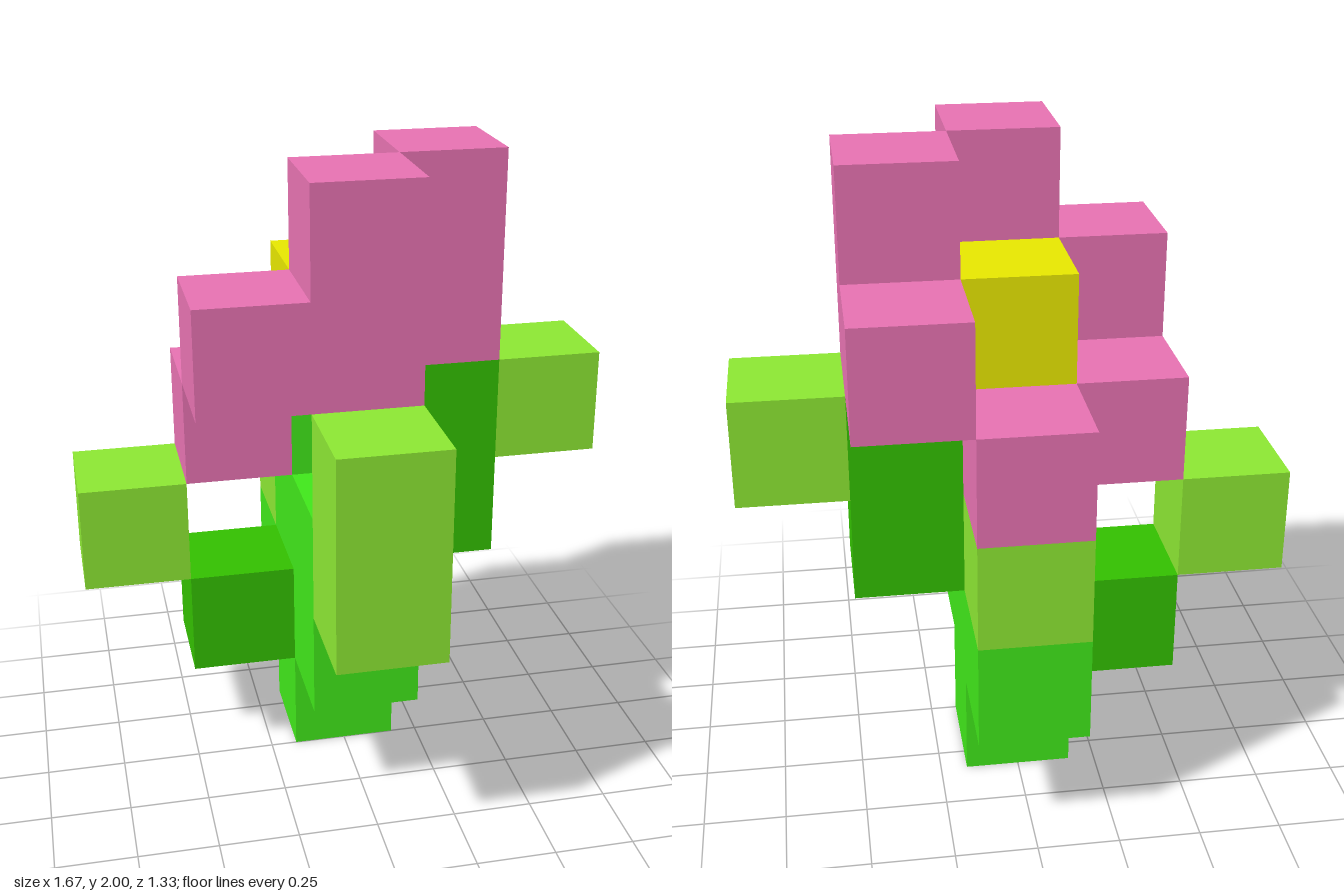
import * as THREE from 'three';
import { mergeGeometries } from 'three/addons/utils/BufferGeometryUtils.js';

const U = 1 / 3; // edge of one cube

const mat = (name, color) => new THREE.MeshStandardMaterial({ name, color });

export function createModel() {
  const stemGreen = mat('stemGreen', 0x40e61a);
  const darkGreen = mat('darkGreen', 0x33bf00);
  const leafGreen = mat('leafGreen', 0x8ce633);
  const petalPink = mat('petalPink', 0xe672b1);
  const centreYellow = mat('centreYellow', 0xe6e600);

  // Each part lists its cubes as [x, y, z] grid cells
  const parts = [
    ['stem', stemGreen, [[0, 0, -1], [0, 1, -1], [0, 2, -1], [0, 3, -1]]],
    ['frontBranch', stemGreen, [[0, 1, 0], [0, 2, 0]]],
    ['backBranch', stemGreen, [[0, 1, -2]]],
    ['leftBranch', darkGreen, [[1, 2, -1], [1, 3, -1]]],
    ['rightBranch', darkGreen, [[-1, 1, -1]]],
    ['frontLeaf', leafGreen, [[0, 2, 1], [0, 3, 1]]],
    ['backLeaf', leafGreen, [[0, 2, -2]]],
    ['leftLeaf', leafGreen, [[2, 3, -1]]],
    ['rightLeaf', leafGreen, [[-2, 2, -1]]],
    ['flowerCentre', centreYellow, [[0, 4, -1]]],
    ['frontPetal', petalPink, [[0, 4, 0], [0, 5, 0]]],
    ['leftPetal', petalPink, [[1, 4, -1], [1, 5, -1]]],
    ['frontRightPetal', petalPink, [[-1, 4, 0]]],
    ['backLeftPetal', petalPink, [[1, 4, -2]]],
    ['rightPetal', petalPink, [[-1, 3, -1]]],
    ['backPetal', petalPink, [[0, 3, -2]]],
  ];
  const filled = new Set(parts.flatMap(([, , cells]) => cells.map(String)));

  // Cube sides: direction and the turn that points a plane that way
  const H = Math.PI / 2;
  const sides = [
    [[0, 0, 1], 0, 0], [[0, 0, -1], 0, Math.PI],
    [[1, 0, 0], 0, H], [[-1, 0, 0], 0, -H],
    [[0, 1, 0], -H, 0], [[0, -1, 0], H, 0],
  ];

  // Keeps only the sides that no neighbouring cube covers
  const cubes = (cells) => {
    const faces = [];
    for (const [x, y, z] of cells) {
      for (const [[dx, dy, dz], rx, ry] of sides) {
        if (filled.has(String([x + dx, y + dy, z + dz]))) continue;
        faces.push(new THREE.PlaneGeometry(U, U).rotateX(rx).rotateY(ry).translate(
          (x + dx / 2) * U, (y + 0.5 + dy / 2) * U, (z + 0.5 + dz / 2) * U));
      }
    }
    return mergeGeometries(faces);
  };

  const flower = new THREE.Group();
  flower.name = 'blockFlower';
  for (const [name, material, cells] of parts) {
    const mesh = new THREE.Mesh(cubes(cells), material);
    mesh.name = name;
    flower.add(mesh);
  }
  return flower;
}
